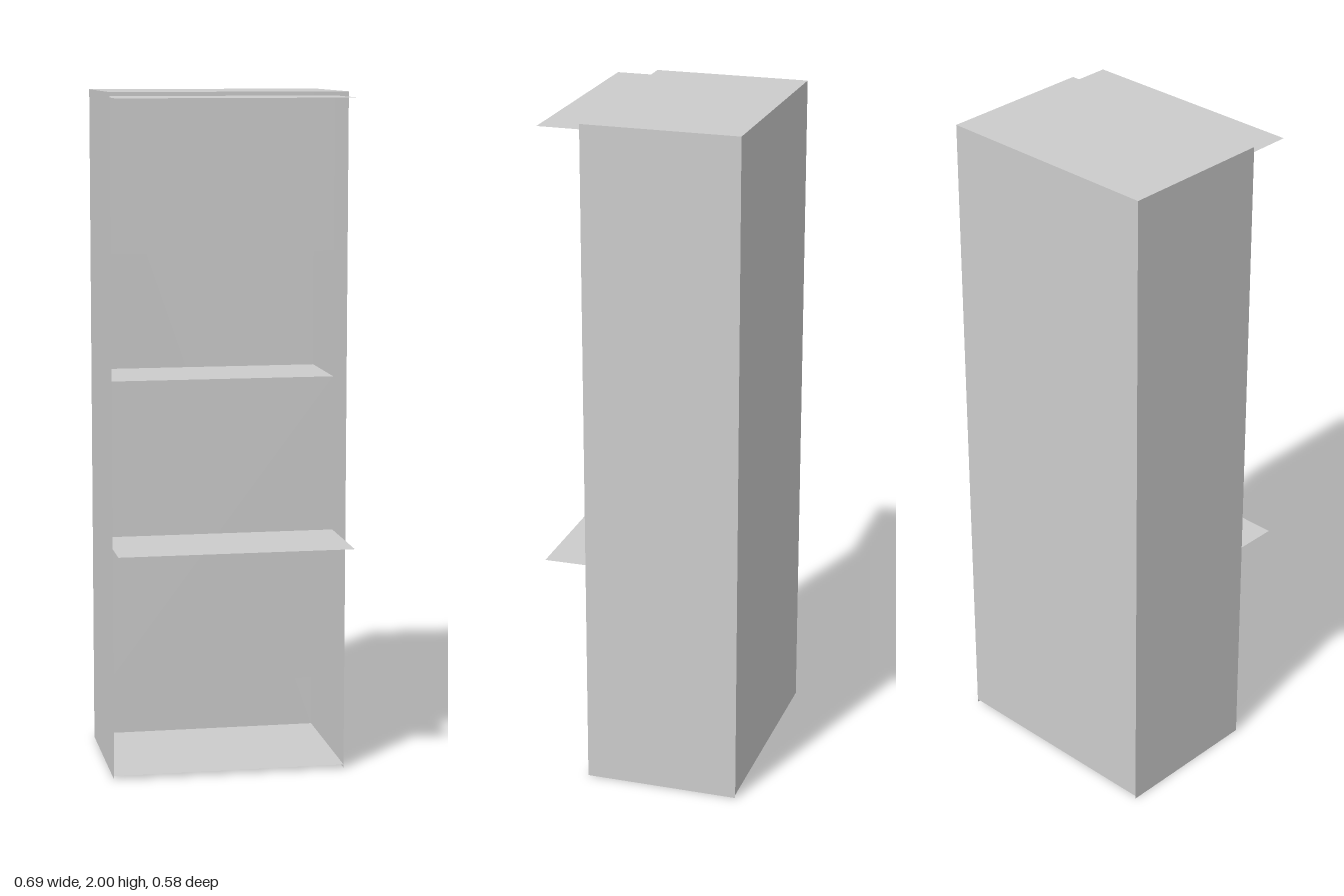
import * as THREE from 'three';

const W = 0.69, BACK = -0.293, FRONT = 0.166, PANEL = -0.009, SHELF = 0.29;
const material = new THREE.MeshStandardMaterial({ color: 0xcccccc, side: THREE.DoubleSide, flatShading: true });

export function createModel() {
  const group = new THREE.Group();

  const add = (name, geometry) => {
    const mesh = new THREE.Mesh(geometry, material);
    mesh.name = name;
    group.add(mesh);
  };
  // Thin sheets spanning the full width, level or upright
  const level = (name, y, z0, z1) =>
    add(name, new THREE.PlaneGeometry(W, z1 - z0).rotateX(-Math.PI / 2).translate(0, y, (z0 + z1) / 2));
  const upright = (name, z, y0, y1, turn = 0) =>
    add(name, new THREE.PlaneGeometry(W, y1 - y0).rotateY(turn).translate(0, (y0 + y1) / 2, z));

  // Open-fronted case
  for (const [name, s] of [['leftSide', 1], ['rightSide', -1]]) {
    add(name, new THREE.PlaneGeometry(FRONT - BACK, 2)
      .rotateY(s * Math.PI / 2).translate(s * W / 2, 1, (BACK + FRONT) / 2));
  }
  upright('backPanel', BACK, 0.01, 2, Math.PI);
  level('topPanel', 2, BACK, FRONT);
  level('bottomPanel', 0.01, BACK, FRONT);

  // Recessed lower and upper compartments, with a niche between them
  upright('lowerFrontPanel', PANEL, 0.235, 1.155);
  level('lowerCompartmentFloor', 0.235, BACK, PANEL);
  level('nicheFloor', 1.155, BACK, PANEL);
  upright('upperFrontPanel', PANEL, 1.53, 1.985);
  level('nicheCeiling', 1.53, BACK, PANEL);

  // Shelves projecting past the case
  level('middleShelf', 0.69, PANEL, SHELF);
  level('topShelf', 1.985, PANEL, SHELF);

  return group;
}
